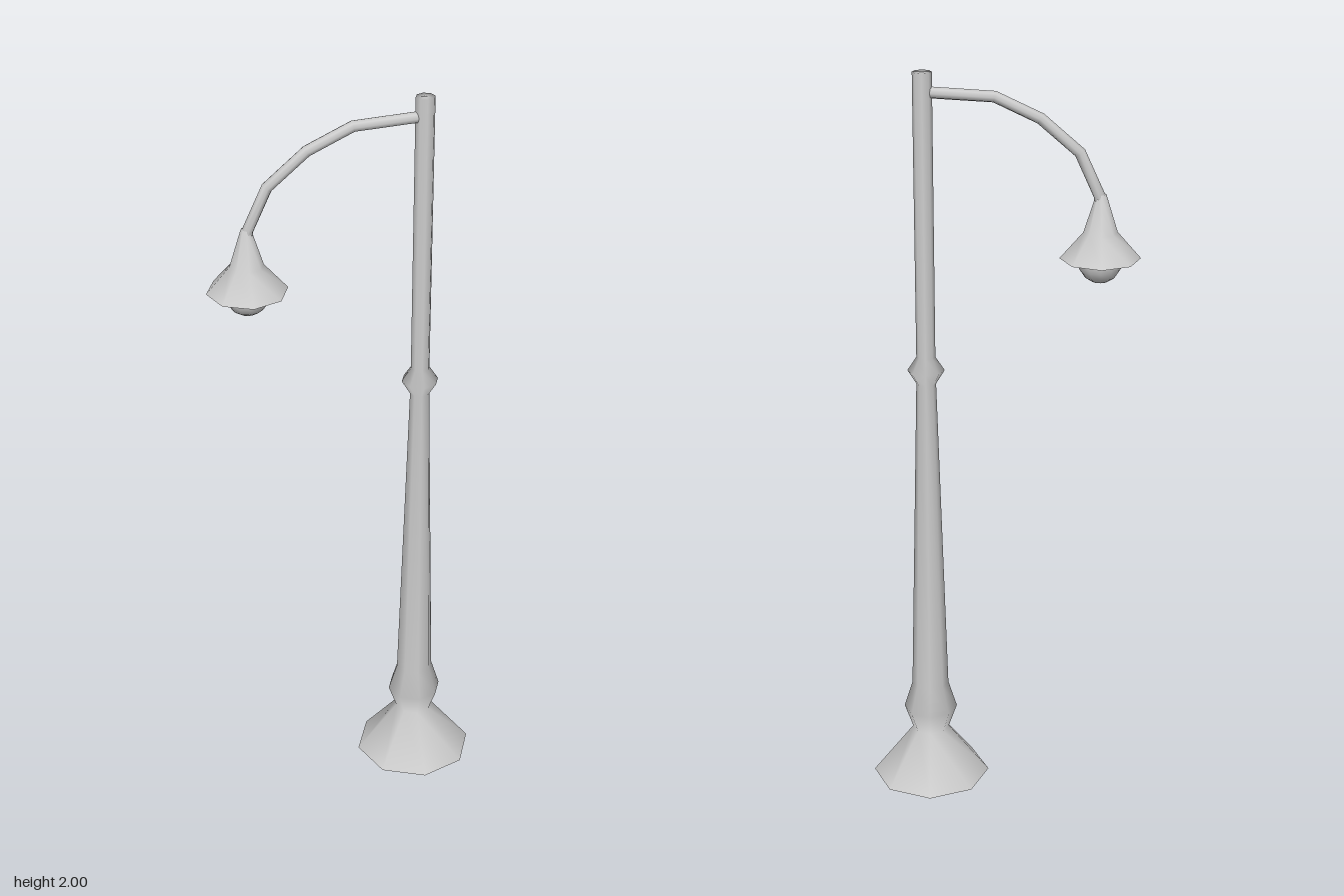
import * as THREE from 'three';

const SIDES = 8;
const POLE_X = 0.197, LAMP_X = -0.255;

export function createModel() {
  const group = new THREE.Group();
  group.name = 'streetLamp';
  const material = new THREE.MeshStandardMaterial({ color: 0xcccccc });

  const add = (name, geometry, x = 0, y = 0) => {
    const mesh = new THREE.Mesh(geometry, material);
    mesh.name = name;
    mesh.position.set(x, y, 0);
    group.add(mesh);
    return mesh;
  };
  // Eight-sided turned part from [radius, height] pairs, listed bottom to top
  const turned = (profile) =>
    new THREE.LatheGeometry(profile.map(([r, y]) => new THREE.Vector2(r, y)), SIDES);

  // Post: flared foot, lower collar, tapering shaft, upper collar, slim top
  add('post', turned([
    [0.161, 0], [0.05, 0.14], [0.073, 0.205], [0.05, 0.28],
    [0.026, 1.17], [0.049, 1.208], [0.025, 1.245], [0.025, 2], [0, 2],
  ]), POLE_X);
  add('footUnderside', new THREE.CircleGeometry(0.161, SIDES), POLE_X).rotation.x = Math.PI / 2;

  // Bent arm: one straight tube section between neighbouring points
  const path = new THREE.CatmullRomCurve3([
    [POLE_X, 1.949], [0.016, 1.937], [-0.1, 1.881],
    [-0.2, 1.793], [-0.251, 1.68], [-0.256, 1.62],
  ].map(([x, y]) => new THREE.Vector3(x, y, 0)));
  path.getPointAt = (t, target) => path.getPoint(t, target);
  path.getTangentAt = (t, target) => path.getTangent(t, target);
  add('arm', new THREE.TubeGeometry(path, 5, 0.015, SIDES));

  // Shade with a flat underside, and the bulb below it
  add('shade', turned([[0.105, 1.515], [0.044, 1.585], [0.013, 1.685], [0, 1.685]]), LAMP_X);
  add('shadeUnderside', new THREE.CircleGeometry(0.105, SIDES), LAMP_X, 1.515).rotation.x = Math.PI / 2;
  add('bulb', new THREE.SphereGeometry(0.058, 12, 8), LAMP_X, 1.508);

  return group;
}
